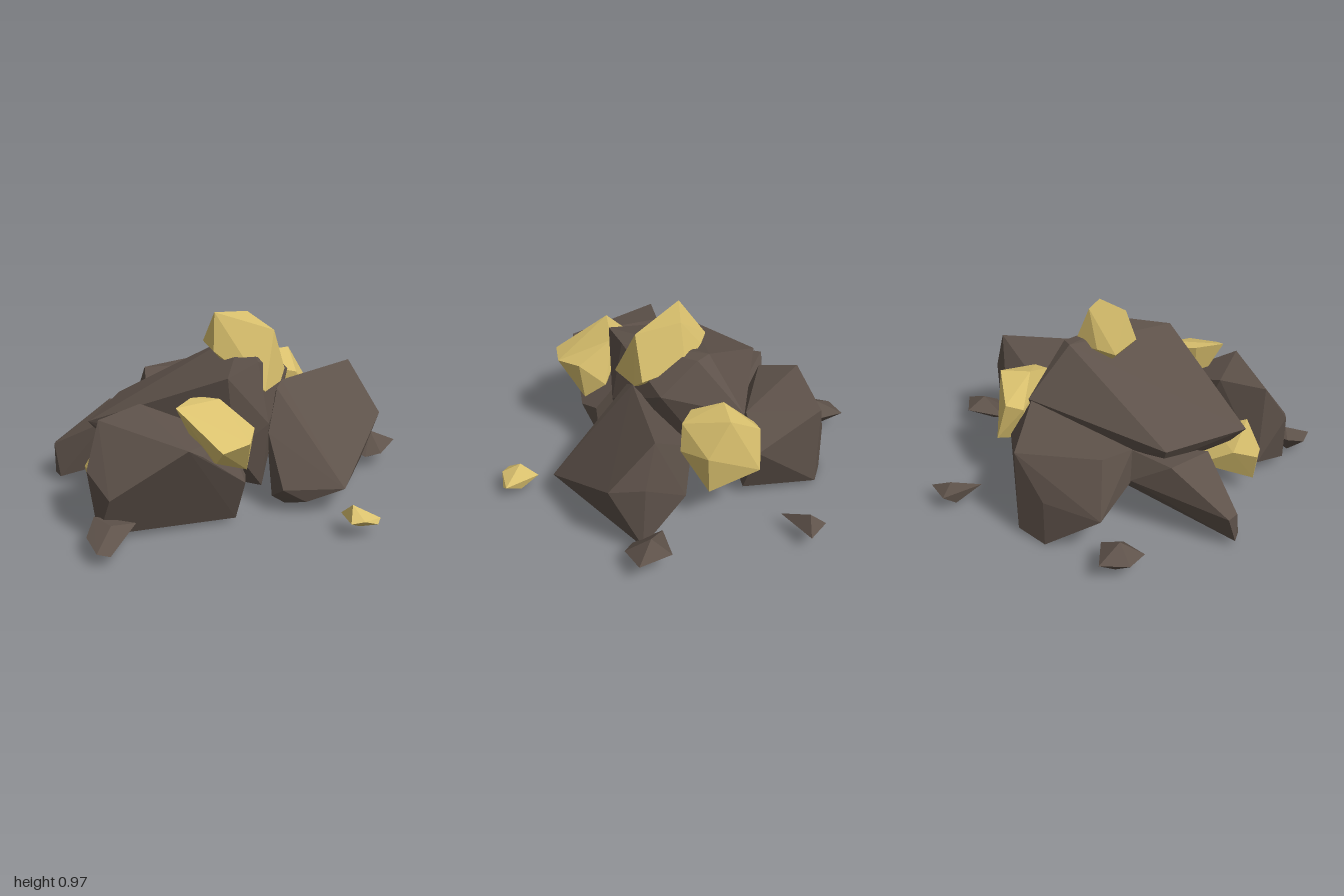
import * as THREE from 'three';
import { ConvexGeometry } from 'three/addons/geometries/ConvexGeometry.js';

const stone = new THREE.MeshStandardMaterial({ color: 0x5e524a, flatShading: true });
stone.name = 'brown stone';
const gold = new THREE.MeshStandardMaterial({ color: 0xdac16e, flatShading: true });
gold.name = 'gold ore';

// A faceted lump: the convex hull of a few corner points.
function lump(name, material, corners) {
  const mesh = new THREE.Mesh(new ConvexGeometry(corners.map((c) => new THREE.Vector3(...c))), material);
  mesh.name = name;
  return mesh;
}

// Large boulders
const boulders = {
  centralBoulder: [
    [-0.74, 0.46, -0.12], [-0.41, 0.46, -0.45], [0.37, 0.54, -0.31], [0.2, 0.8, -0.14], [0.25, 0.79, -0.08],
    [-0.2, 0.74, 0.37], [0.02, 0.77, 0.3], [0.33, 0.63, 0.11], [0.05, 0.45, 0.36], [-0.14, 0.33, 0.34],
    [-0.66, 0.36, -0.1], [-0.38, 0.36, -0.4], [0.05, 0.08, 0.3], [-0.18, 0.09, 0], [-0.5, 0.25, 0],
    [0.3, 0.13, -0.22], [-0.3, 0.14, -0.15],
  ],
  leftBoulder: [
    [-0.9, 0.35, 0.22], [-0.87, 0.26, 0.41], [-0.89, 0.04, 0.31], [-0.54, 0.51, 0.59], [-0.46, 0.46, 0.58],
    [-0.79, 0.56, 0.13], [-0.55, 0.59, 0.1], [-0.17, 0.42, 0.32], [-0.2, 0.25, 0.54],
    [-0.15, 0.25, 0.46], [-0.2, 0.02, 0.45], [-0.35, 0.08, 0.15], [-0.78, 0.1, 0.12],
  ],
  rightBoulder: [
    [0.31, 0.15, 0.68], [0.04, 0.14, 0.52], [0.05, 0.4, 0.36], [0.15, 0.6, 0.28], [0.2, 0.63, 0.25],
    [0.71, 0.63, 0.15], [0.76, 0.38, 0.38], [0.78, 0.4, 0.2], [0.78, 0.05, 0.22], [0.12, 0.01, 0.42],
    [0.15, 0.07, 0.57], [0.05, 0.06, 0.4], [0.3, 0.03, 0.08], [0.64, 0.25, 0], [0.3, 0.3, -0.05],
  ],
  backBoulder: [
    [-0.15, 0.5, -0.66], [-0.18, 0.22, -0.78], [0.12, 0, -0.77], [0.12, 0.26, -0.77], [0.28, 0.49, -0.72],
    [0.28, 0.03, -0.72], [0.45, 0.35, -0.38], [0.35, 0.54, -0.32], [-0.24, 0.45, -0.46], [-0.24, 0.27, -0.49],
    [0.35, 0.06, -0.32], [0, 0.15, -0.25],
  ],
  backLeftWedge: [
    [-0.79, 0.04, -0.43], [-0.79, 0.04, -0.5], [-0.79, 0.21, -0.5], [-0.76, 0.2, -0.55], [-0.24, 0.28, -0.49],
    [-0.45, 0.41, -0.5], [-0.58, 0.38, -0.26], [-0.5, 0.17, -0.2], [-0.15, 0.2, -0.4], [-0.1, 0.4, -0.35],
  ],
};

// Loose stone chips on the ground
const chips = {
  leftChip: [
    [-1, 0.08, 0.54], [-0.99, 0.1, 0.4], [-0.91, 0.15, 0.31], [-0.88, 0.15, 0.44], [-0.74, 0.12, 0.42],
    [-0.94, 0.06, 0.56], [-0.9, 0.02, 0.42],
  ],
  rightChip: [
    [0.93, 0.13, 0.08], [0.72, 0.1, 0.12], [0.87, 0.18, 0.18], [1, 0.12, 0.24], [0.85, 0.09, 0.31],
    [0.77, 0.07, 0.27], [0.83, 0.03, 0.2],
  ],
  backChip: [
    [-0.41, 0.1, -0.8], [-0.37, 0.1, -0.91], [-0.23, 0.11, -0.96], [-0.18, 0.1, -0.78], [-0.28, 0.09, -0.73],
    [-0.29, 0.16, -0.82], [-0.28, 0.02, -0.86],
  ],
  backRightChip: [
    [0.59, 0.07, -0.49], [0.71, 0.1, -0.7], [0.82, 0.1, -0.61], [0.7, 0.15, -0.62], [0.68, 0.02, -0.62],
  ],
};

// Gold nuggets set into the boulders, and one loose in front
const nuggets = {
  topNugget: [
    [-0.06, 0.97, 0], [0.14, 0.95, 0], [-0.05, 0.78, -0.14], [0.06, 0.78, -0.11], [0.22, 0.74, -0.02],
    [0.16, 0.9, 0.23], [-0.1, 0.78, 0.06], [0.04, 0.62, 0.34], [0.25, 0.67, 0.2], [0.2, 0.62, 0.24], [0.1, 0.55, 0.08],
  ],
  leftNugget: [
    [-0.5, 0.65, 0.39], [-0.37, 0.65, 0.3], [-0.3, 0.64, 0.29], [-0.24, 0.64, 0.36], [-0.15, 0.53, 0.54],
    [-0.41, 0.5, 0.68], [-0.25, 0.51, 0.66], [-0.4, 0.42, 0.6], [-0.18, 0.31, 0.52], [-0.16, 0.4, 0.4],
    [-0.35, 0.35, 0.37],
  ],
  rightNugget: [
    [0.4, 0.64, -0.2], [0.56, 0.63, -0.22], [0.47, 0.52, -0.38], [0.37, 0.58, -0.04], [0.46, 0.56, 0.01],
    [0.5, 0.42, 0.02], [0.62, 0.45, -0.11], [0.53, 0.31, -0.38], [0.58, 0.22, -0.12], [0.38, 0.5, -0.36],
    [0.36, 0.4, -0.05], [0.38, 0.3, -0.3],
  ],
  sideNugget: [
    [-0.72, 0.43, 0.02], [-0.8, 0.25, 0.03], [-0.78, 0.08, 0], [-0.8, 0.25, -0.05], [-0.68, 0.28, -0.09],
    [-0.5, 0.18, -0.1], [-0.7, 0.3, 0.1], [-0.55, 0.36, 0], [-0.6, 0.12, 0.02],
  ],
  looseNugget: [
    [0.22, 0.08, 0.77], [0.34, 0.09, 0.93], [0.22, 0.16, 0.86], [0.16, 0.1, 0.93], [0.22, 0.11, 0.96],
    [0.27, 0.03, 0.86], [0.31, 0.07, 0.95],
  ],
};

export function createModel() {
  const model = new THREE.Group();
  model.name = 'goldOrePile';
  for (const [set, material] of [[boulders, stone], [chips, stone], [nuggets, gold]]) {
    for (const [name, corners] of Object.entries(set)) model.add(lump(name, material, corners));
  }
  return model;
}
